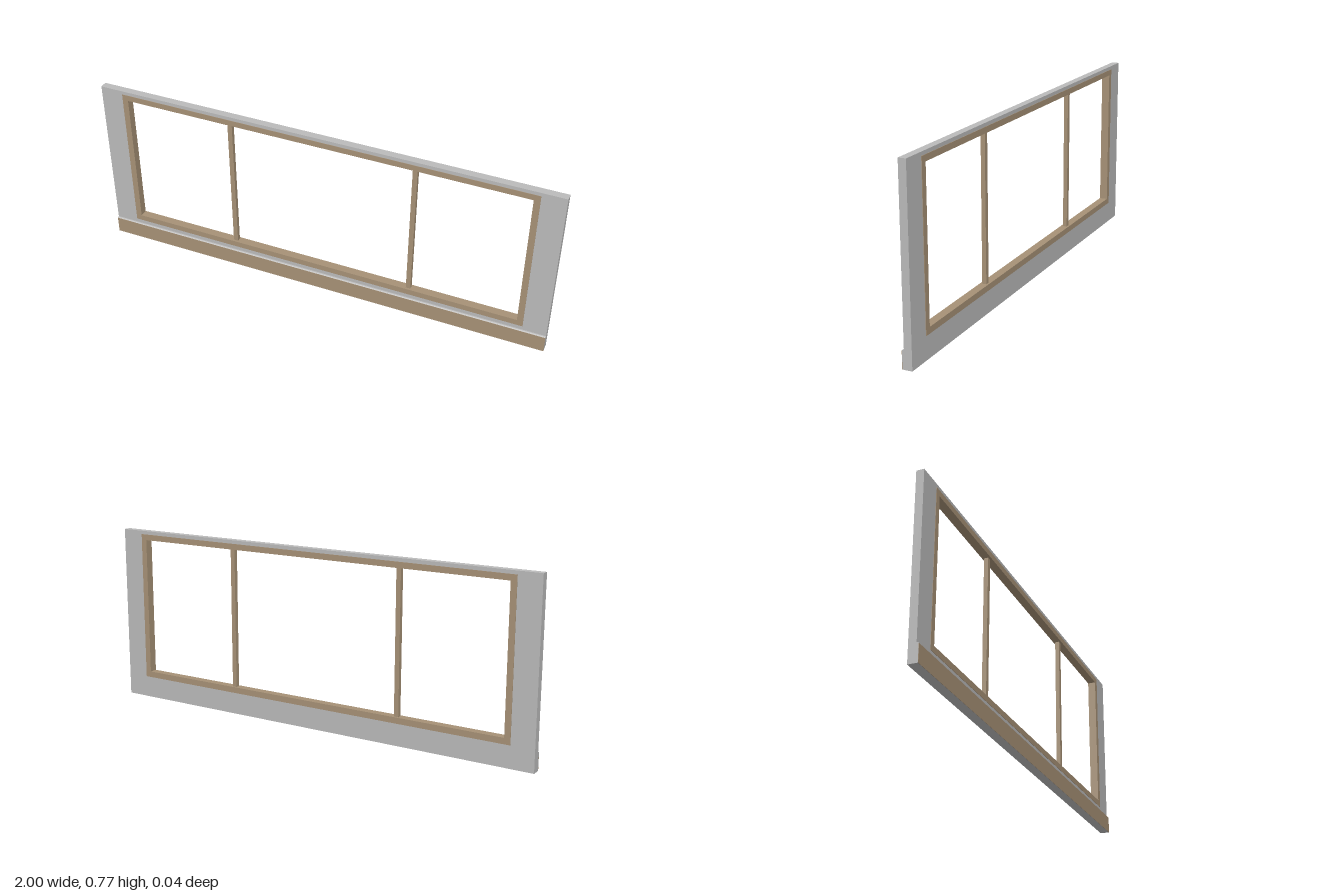
import * as THREE from 'three';

const grey = new THREE.MeshStandardMaterial({ name: 'wallGrey', color: 0xbababa });
const tan = new THREE.MeshStandardMaterial({ name: 'woodTan', color: 0xa69176 });

// Upright rectangular panel with a rectangular hole, from z0 to z1
function ring(name, outer, inner, z0, z1, material) {
  const path = (p, [x0, y0, x1, y1]) =>
    p.moveTo(x0, y0).lineTo(x1, y0).lineTo(x1, y1).lineTo(x0, y1).closePath();
  const shape = path(new THREE.Shape(), outer);
  shape.holes.push(path(new THREE.Path(), inner));
  const geometry = new THREE.ExtrudeGeometry(shape, { depth: z1 - z0, bevelEnabled: false });
  const mesh = new THREE.Mesh(geometry.translate(0, 0, z0), material);
  mesh.name = name;
  return mesh;
}

export function createModel() {
  const model = new THREE.Group();
  model.name = 'windowWall';

  // Wall panel and the frame lining its opening, slightly proud on both sides
  const opening = [-0.9, 0.095, 0.9, 0.755];
  model.add(ring('wall', [-1, 0, 1, 0.77], opening, -0.019, 0.013, grey));
  model.add(ring('windowFrame', opening, [-0.874, 0.121, 0.874, 0.73], -0.021, 0.0145, tan));

  // Two slim mullions, set back inside the frame
  for (const side of [-1, 1]) {
    const mullion = new THREE.Mesh(new THREE.BoxGeometry(0.02, 0.61, 0.018), tan);
    mullion.position.set(side * 0.402, 0.4255, -0.004);
    mullion.name = side > 0 ? 'leftMullion' : 'rightMullion';
    model.add(mullion);
  }

  // Baseboard with a chamfered top edge: profile in (z, y), swept along x
  const profile = new THREE.Shape();
  profile.moveTo(0.013, 0).lineTo(0.021, 0).lineTo(0.021, 0.073)
    .lineTo(0.018, 0.077).lineTo(0.013, 0.077).closePath();
  const board = new THREE.ExtrudeGeometry(profile, { depth: 2, bevelEnabled: false });
  board.rotateY(-Math.PI / 2).translate(1, 0, 0);
  const baseboard = new THREE.Mesh(board, grey);
  baseboard.name = 'baseboard';
  model.add(baseboard);

  // Painted front face of the baseboard
  const face = new THREE.Mesh(new THREE.BoxGeometry(2, 0.073, 0.001), tan);
  face.position.set(0, 0.0365, 0.0215);
  face.name = 'baseboardFace';
  model.add(face);

  return model;
}
